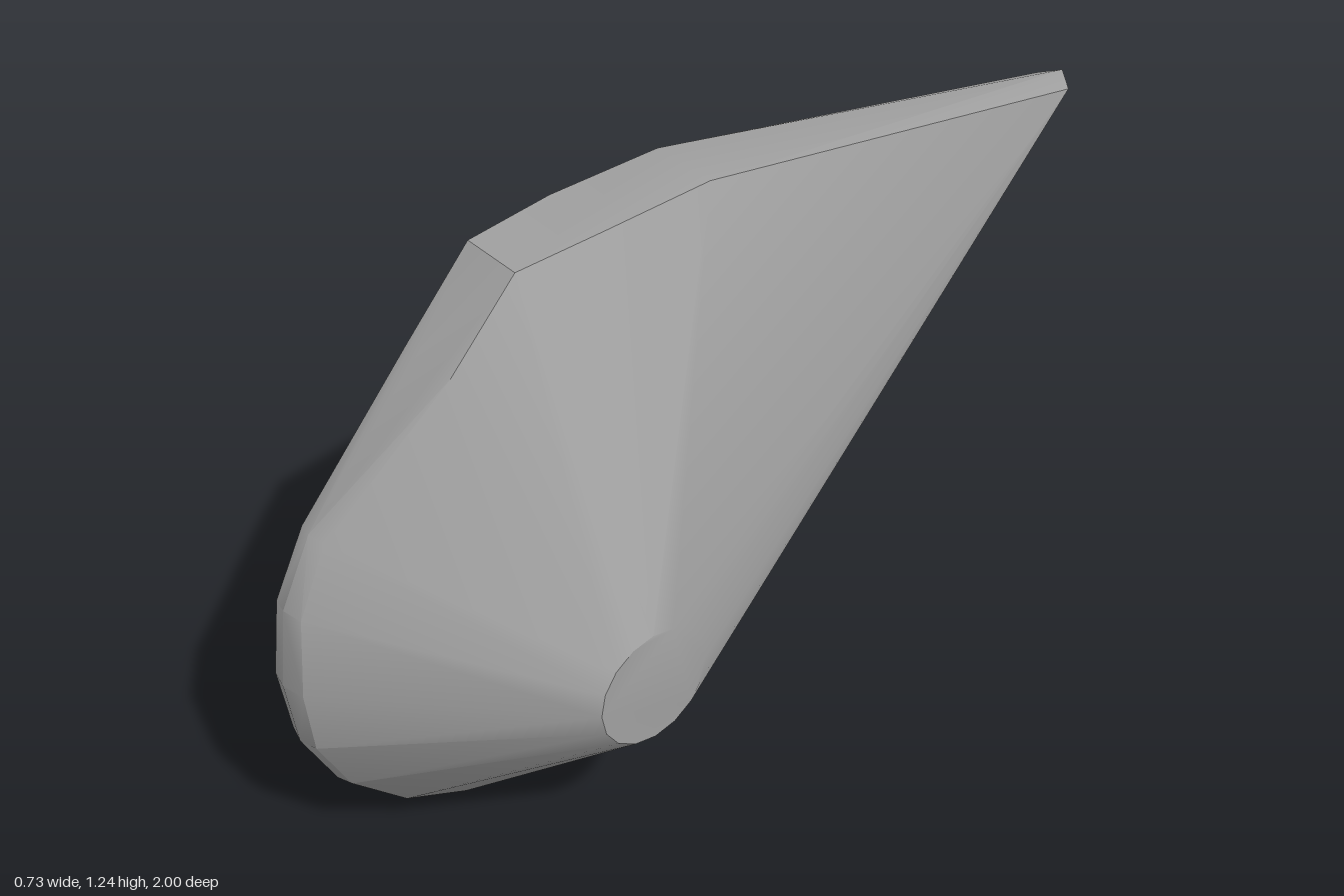
import * as THREE from 'three';
import { toCreasedNormals } from 'three/addons/utils/BufferGeometryUtils.js';
import { ConvexGeometry } from 'three/addons/geometries/ConvexGeometry.js';

const HUB = { z: 0.5, y: 0.5 };

// Points of a circle around the hub axis, which runs along x
function ring(x, radius, count = 20, z = HUB.z, y = HUB.y) {
  return Array.from({ length: count }, (_, i) => {
    const a = (i / count) * Math.PI * 2;
    return new THREE.Vector3(x, y + radius * Math.sin(a), z + radius * Math.cos(a));
  });
}

export function createModel() {
  const grey = new THREE.MeshStandardMaterial({ color: 0xa0a0a0 });
  grey.name = 'grey';

  // Rim outline: z, y, right-hand edge x, left-hand edge x, inset of both edges
  const rim = [
    [0.5, 1.235, -0.128, 0.008, 0],
    [0.3, 1.235, -0.15, 0.008, 0],
    [0.05, 1.235, -0.145, 0.005, 0],
    [-1, 1.028, -0.13, -0.04, 0.035],
    [0.13, 0.142, -0.128, -0.05, 0.01],
    [0.23, 0.08, -0.128, -0.05, 0.01],
    [0.38, 0.015, -0.128, -0.045, 0.01],
    [0.5, 0, -0.128, -0.045, 0.01],
    [0.65, 0.022, -0.126, -0.052, 0.01],
    [0.79, 0.09, -0.124, -0.054, 0.01],
    [0.91, 0.21, -0.122, -0.054, 0.01],
    [0.98, 0.35, -0.126, -0.05, 0.01],
    [1, 0.5, -0.13, -0.04, 0.01],
    [0.98, 0.67, -0.126, -0.048, 0.01],
    [0.91, 0.81, -0.124, -0.055, 0.01],
    [0.65, 1.08, -0.127, 0.006, 0.003],
  ];
  const points = [];
  for (const [z, y, x0, x1, inset] of rim) {
    const crest = new THREE.Vector3(-0.09, y, z);
    const inward = new THREE.Vector3(0, HUB.y - y, HUB.z - z).normalize().multiplyScalar(inset);
    points.push(crest);
    for (const x of [x0, x1]) points.push(new THREE.Vector3(x, y, z).add(inward));
  }

  // Flat round end on one side, shallow dome on the other
  points.push(...ring(0.36, 0.123, 16, 0.495, 0.505));
  for (const [x, r] of [[-0.362, 0.05], [-0.353, 0.1], [-0.338, 0.15], [-0.316, 0.2]]) {
    points.push(...ring(x, r));
  }
  points.push(new THREE.Vector3(-0.365, HUB.y, HUB.z));

  const body = new THREE.Mesh(toCreasedNormals(new ConvexGeometry(points), 0.5), grey);
  body.name = 'wedgeBody';

  const model = new THREE.Group();
  model.name = 'taperedWedge';
  model.add(body);
  return model;
}
